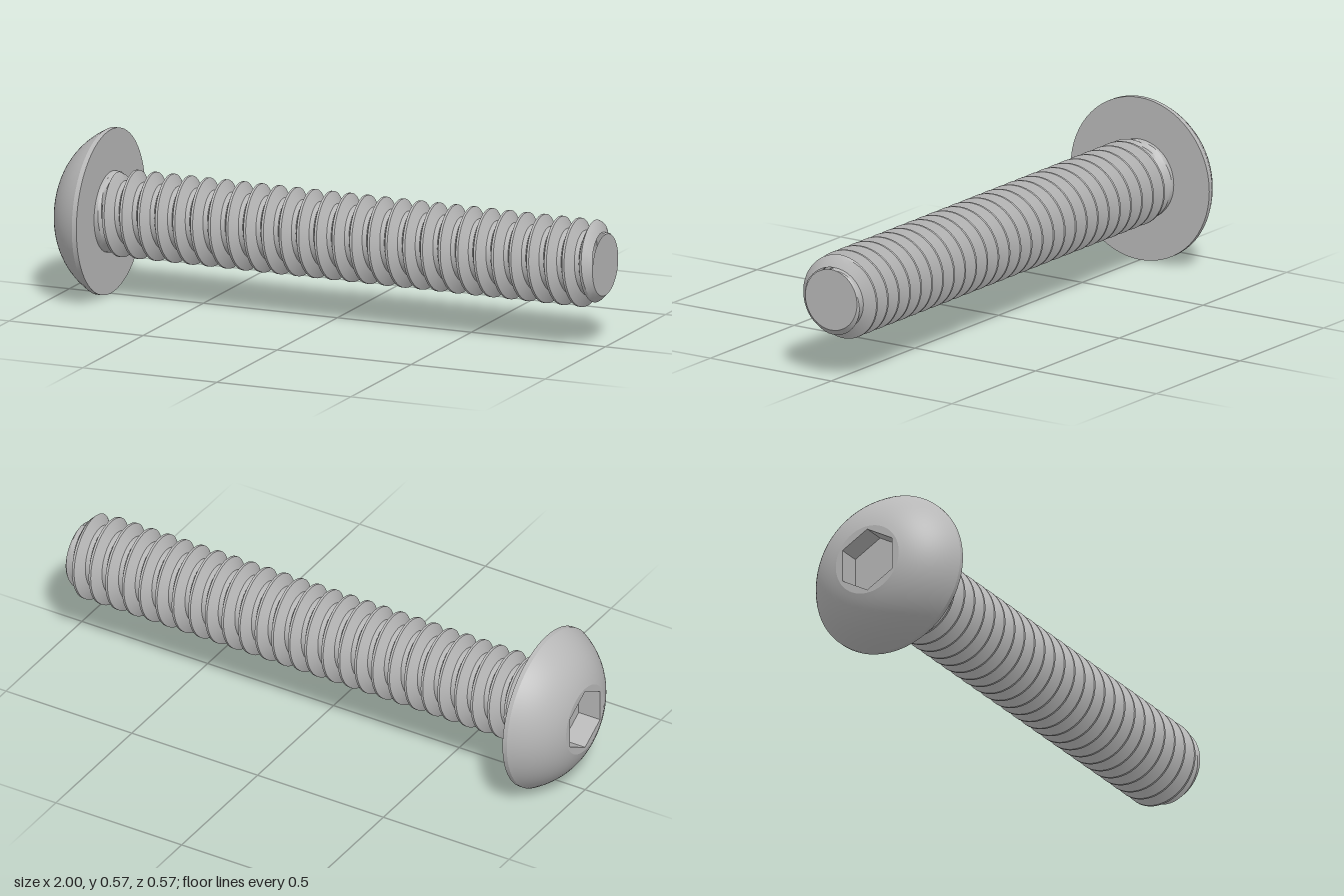
import * as THREE from 'three';
import { toCreasedNormals } from 'three/addons/utils/BufferGeometryUtils.js';

const HEAD_R = 0.287, HEAD_X = -0.845;      // head radius and underside position
const FACE_R = 0.125, HEX_R = 0.114, HEX_DEPTH = 0.085;
const CREST = 0.151, ROOT = 0.111, TIP_R = 0.107, PITCH = 0.066;

// Thread radius at a phase of 0..1 along one pitch (crest at 0, root at 0.5)
function threadRadius(phase) {
  const d = Math.abs(phase - Math.round(phase));
  const t = THREE.MathUtils.clamp((d - 0.0625) / (0.375 - 0.0625), 0, 1);
  return CREST + (ROOT - CREST) * t;
}

// Helical shank with a plain neck at the head and a chamfered tip
function shankGeometry() {
  const seg = 64, steps = [-0.375, -0.22, -0.0625, 0.0625, 0.22, 0.375];
  const first = 0.96 - 30 * PITCH, rows = [];
  for (let k = 0; k < 32; k++) for (const s of steps) rows.push(k + s);
  const pos = [], index = [];
  for (const row of rows) {
    for (let j = 0; j <= seg; j++) {
      const a = (j / seg) * Math.PI * 2;
      const x = THREE.MathUtils.clamp(first + (row + j / seg - 1) * PITCH, HEAD_X, 1);
      const phase = (x - first) / PITCH - j / seg;
      const fade = THREE.MathUtils.smoothstep(x, -0.835, -0.81);
      const thread = ROOT + (threadRadius(phase) - ROOT) * fade;
      const neck = THREE.MathUtils.clamp(0.14 - (x + 0.83), ROOT, 0.14);
      const r = Math.min(Math.max(thread, neck), TIP_R + (1 - x));
      pos.push(x, r * Math.cos(a), r * Math.sin(a));
    }
  }
  const w = seg + 1;
  for (let i = 0; i < rows.length - 1; i++) {
    for (let j = 0; j < seg; j++) {
      const a = i * w + j, b = a + 1, c = a + w, d = c + 1;
      index.push(a, b, c, b, d, c);
    }
  }
  const g = new THREE.BufferGeometry();
  g.setAttribute('position', new THREE.Float32BufferAttribute(pos, 3));
  g.setIndex(index);
  return toCreasedNormals(g, 0.4);
}

export function createModel() {
  const screw = new THREE.Group();
  screw.name = 'buttonHeadScrew';
  const steel = new THREE.MeshStandardMaterial({ color: 0xb8b8b8, side: THREE.DoubleSide });
  steel.name = 'steelGrey';

  const add = (name, geometry, x = 0) => {
    const mesh = new THREE.Mesh(geometry, steel);
    mesh.name = name;
    mesh.position.set(x, HEAD_R, 0);
    screw.add(mesh);
  };

  // Domed head with its rim and flat underside
  const dome = new THREE.QuadraticBezierCurve(
    new THREE.Vector2(FACE_R, -1),
    new THREE.Vector2(0.231, -0.966),
    new THREE.Vector2(HEAD_R, -0.862)
  ).getPoints(14);
  const profile = [...dome, new THREE.Vector2(HEAD_R, HEAD_X), new THREE.Vector2(0.1, HEAD_X)];
  add('head', toCreasedNormals(new THREE.LatheGeometry(profile, 64).rotateZ(-Math.PI / 2), 0.4));

  // Flat face around the hexagonal socket
  const face = new THREE.Shape().absarc(0, 0, FACE_R, 0, Math.PI * 2);
  const hex = [];
  for (let i = 0; i < 6; i++) {
    const a = Math.PI / 2 - (i * Math.PI) / 3;
    hex.push(new THREE.Vector2(HEX_R * Math.cos(a), HEX_R * Math.sin(a)));
  }
  face.holes.push(new THREE.Path(hex));
  add('headFace', new THREE.ShapeGeometry(face, 32).rotateY(-Math.PI / 2), -1);

  // Socket walls and floor
  const walls = new THREE.CylinderGeometry(HEX_R, HEX_R, HEX_DEPTH, 6, 1, true)
    .rotateZ(-Math.PI / 2).rotateX(Math.PI / 2).toNonIndexed();
  walls.computeVertexNormals();
  add('socketWalls', walls, -1 + HEX_DEPTH / 2);
  add('socketFloor', new THREE.CircleGeometry(HEX_R, 6, Math.PI / 2).rotateY(-Math.PI / 2), -1 + HEX_DEPTH);

  // Threaded shank and its flat tip
  add('threadedShank', shankGeometry());
  add('tip', new THREE.CircleGeometry(TIP_R, 64).rotateY(Math.PI / 2), 1);

  return screw;
}
